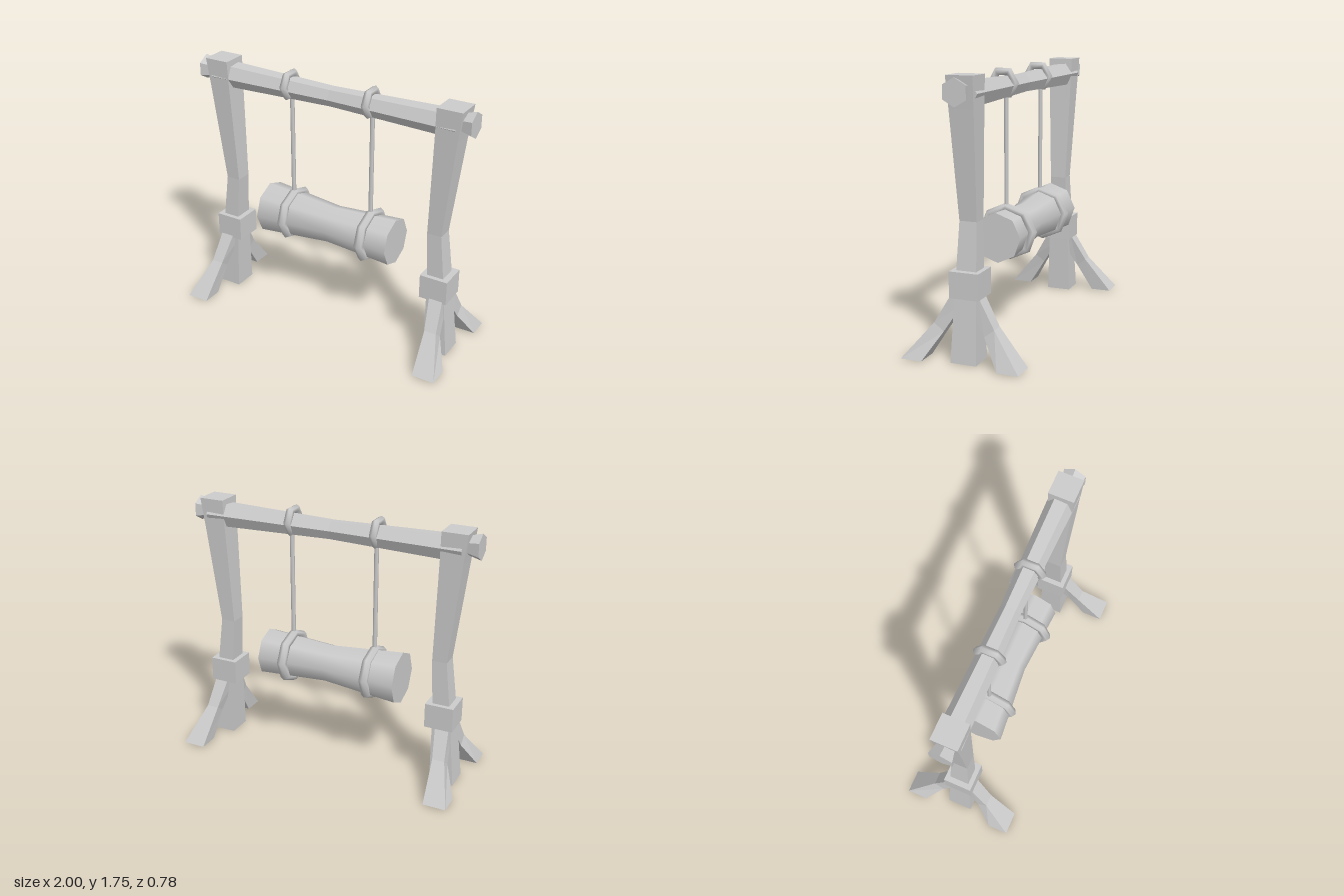
import * as THREE from 'three';

const flat = new THREE.MeshStandardMaterial({ color: 0xcccccc, flatShading: true });
const flatOpen = new THREE.MeshStandardMaterial({ color: 0xcccccc, flatShading: true, side: THREE.DoubleSide });
const smooth = new THREE.MeshStandardMaterial({ color: 0xcccccc });

// Four-cornered sections joined from bottom to top; sx and sz mirror the shape
function loft(sections, sx, sz, capped) {
  const pos = [];
  const rings = sections.map(s => s.map(([x, y, z]) => [x * sx, y, z * sz]));
  const quad = (a, b, c, d) => {
    const q = sx * sz < 0 ? [d, c, b, a] : [a, b, c, d];
    for (const i of [0, 1, 2, 0, 2, 3]) pos.push(...q[i]);
  };
  for (let i = 0; i < rings.length - 1; i++) {
    for (let j = 0; j < 4; j++) {
      const k = (j + 1) % 4;
      quad(rings[i][j], rings[i][k], rings[i + 1][k], rings[i + 1][j]);
    }
  }
  if (capped) {
    quad(...[...rings[0]].reverse());
    quad(...rings[rings.length - 1]);
  }
  const g = new THREE.BufferGeometry();
  g.setAttribute('position', new THREE.Float32BufferAttribute(pos, 3));
  g.computeVertexNormals();
  return g;
}

// Level rectangle, corners counter-clockwise seen from above
const rect = (y, x0, x1, z) => [[x0, y, z], [x1, y, z], [x1, y, -z], [x0, y, -z]];

// Many-sided bar along x with a radius at each station, [x, radius] from +x to -x
function bar(sides, stations, turn) {
  const n = stations.length - 1;
  const g = new THREE.CylinderGeometry(1, 1, 1, sides, n, false, turn);
  const p = g.attributes.position;
  for (let i = 0; i < p.count; i++) {
    const [x, r] = stations[Math.round((0.5 - p.getY(i)) * n)];
    p.setXYZ(i, p.getX(i) * r, x, p.getZ(i) * r);
  }
  return g.rotateZ(-Math.PI / 2);
}

export function createModel() {
  const group = new THREE.Group();
  const add = (name, geo, mat, x = 0, y = 0, z = 0) => {
    const m = new THREE.Mesh(geo, mat);
    m.name = name;
    m.position.set(x, y, z);
    group.add(m);
    return m;
  };

  // Bent, waisted post
  const post = [
    rect(0, 0.765, 0.93, 0.085),
    rect(0.5, 0.76, 0.88, 0.068),
    rect(0.87, 0.738, 0.837, 0.057),
    rect(1.55, 0.765, 0.916, 0.08),
    rect(1.745, 0.77, 0.942, 0.087),
  ];
  // Splayed strut, open at both ends
  const strut = [
    [[0.835, 0.005, 0.39], [0.99, 0.005, 0.39], [0.99, 0.005, 0.25], [0.835, 0.005, 0.25]],
    [[0.82, 0.235, 0.2], [0.903, 0.235, 0.2], [0.905, 0.185, 0.135], [0.825, 0.185, 0.135]],
    [[0.79, 0.43, 0.085], [0.885, 0.43, 0.085], [0.885, 0.36, 0.02], [0.79, 0.36, 0.02]],
  ];

  for (const s of [1, -1]) {
    const side = s > 0 ? 'left' : 'right';
    add(side + 'Post', loft(post, s, 1, true), flat, 0.003, 0, -0.004);
    add(side + 'Collar', new THREE.BoxGeometry(0.193, 0.167, 0.193), flat, s * 0.815 + 0.005, 0.488, -0.004);
    for (const f of [1, -1]) {
      add(side + (f > 0 ? 'Front' : 'Back') + 'Strut', loft(strut, s, f, false), flatOpen, 0.005);
    }
    // Flared beam end poking out of the post
    const ends = [[1, 0.086], [0.9, 0.058]];
    const peg = bar(6, s > 0 ? ends : ends.map(([x, r]) => [-x, r]).reverse(), Math.PI / 6);
    add(side + 'Peg', peg, flat, 0, 1.652, 0);
  }

  // Crossbeam, thinner in the middle
  add('crossbeam', bar(6, [[0.9, 0.091], [0, 0.067], [-0.9, 0.091]], 0.09), flat, 0, 1.63, -0.008);

  // Hanging log
  add('log', bar(8, [[0.478, 0.163], [0, 0.132], [-0.52, 0.18]], 0.05), smooth, 0, 0.687, -0.03);

  // Ropes with a loop round the beam and one round the log
  for (const x of [-0.317, 0.289]) {
    add('rope', new THREE.CylinderGeometry(0.015, 0.015, 0.74, 6), smooth, x, 1.21, -0.02);
    const top = new THREE.TorusGeometry(0.081, 0.027, 6, 6).rotateY(Math.PI / 2);
    add('beamLoop', top, smooth, x, 1.652, 0);
    const low = new THREE.TorusGeometry(0.17, 0.033, 6, 8).rotateZ(0.06).rotateY(Math.PI / 2);
    add('logLoop', low, smooth, x, 0.69, -0.03).scale.y = 0.93;
  }
  return group;
}
